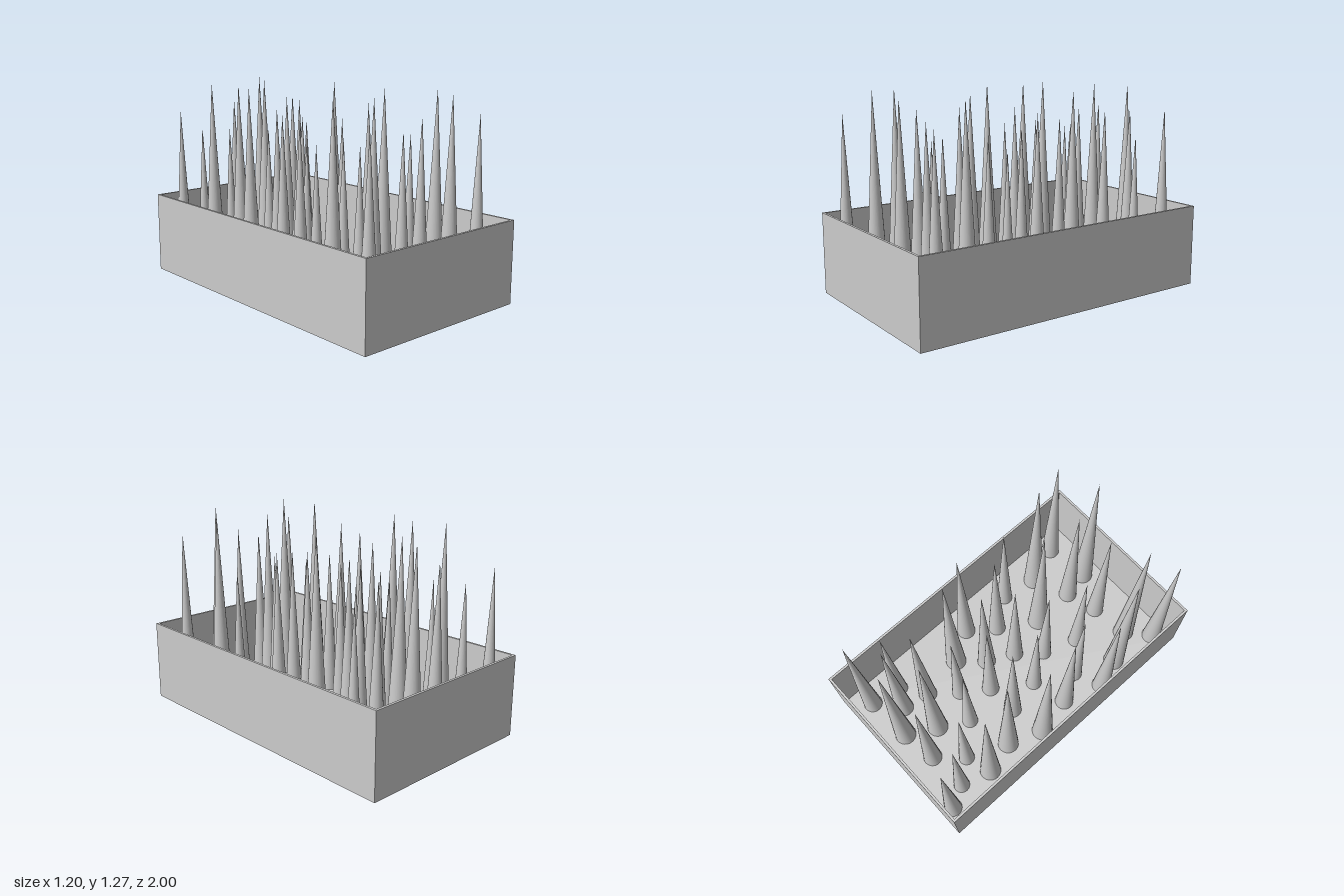
import * as THREE from 'three';

const WIDTH = 1.2, DEPTH = 2, HEIGHT = 0.515, WALL = 0.015;

// Spikes grouped by tip height; each entry is an [x, z] position on the floor
const SPIKES = [
  { tip: 1.27, at: [
    [0.135, -0.835], [-0.43, -0.575], [0.03, -0.64], [-0.375, -0.365], [0.3, -0.24], [-0.465, -0.135],
    [0.135, 0.385], [-0.435, 0.57], [0.385, 0.575], [-0.33, 0.77], [0.18, 0.865]] },
  { tip: 1.13, at: [
    [-0.105, -0.8], [0.45, -0.86], [0.285, -0.72], [0.25, -0.54], [-0.22, -0.185], [0.155, -0.085],
    [0.42, -0.04], [-0.415, 0.115], [-0.505, 0.38], [0.14, 0.68], [0.475, 0.825], [-0.48, 0.895]] },
  { tip: 1.07, at: [
    [-0.45, -0.92], [-0.01, -0.195], [0.065, 0.095], [0.29, 0.135], [-0.075, 0.74]] },
  { tip: 0.97, at: [
    [-0.375, -0.78], [0.41, -0.655], [-0.26, -0.635], [-0.085, -0.45], [0.11, -0.37], [-0.18, 0.05],
    [-0.065, 0.25], [-0.32, 0.3], [0.425, 0.33], [-0.15, 0.48]] },
];

export function createModel() {
  const model = new THREE.Group();
  const material = new THREE.MeshStandardMaterial({ color: 0xcccccc });

  const add = (name, geometry, x, y, z, parent = model) => {
    const mesh = new THREE.Mesh(geometry, material);
    mesh.name = name;
    mesh.position.set(x, y, z);
    parent.add(mesh);
  };

  // Open-topped box: rectangular rim extruded upward, closed by a thin floor
  const w = WIDTH / 2, d = DEPTH / 2, iw = w - WALL, id = d - WALL;
  const corners = (a, b) => [[-a, -b], [a, -b], [a, b], [-a, b]].map(([x, y]) => new THREE.Vector2(x, y));
  const rim = new THREE.Shape(corners(w, d));
  rim.holes.push(new THREE.Path(corners(iw, id).reverse()));
  const walls = new THREE.ExtrudeGeometry(rim, { depth: HEIGHT, bevelEnabled: false });
  walls.rotateX(-Math.PI / 2);
  add('boxWalls', walls, 0, 0, 0);
  add('boxFloor', new THREE.BoxGeometry(iw * 2, WALL, id * 2), 0, WALL / 2, 0);

  // Slender cones standing on the floor, all with the same taper
  const spikes = new THREE.Group();
  spikes.name = 'spikes';
  model.add(spikes);
  for (const { tip, at } of SPIKES) {
    const h = tip - WALL;
    const cone = new THREE.ConeGeometry(h * 0.056, h, 32);
    for (const [x, z] of at) add('spike', cone, x, WALL + h / 2, z, spikes);
  }

  return model;
}
